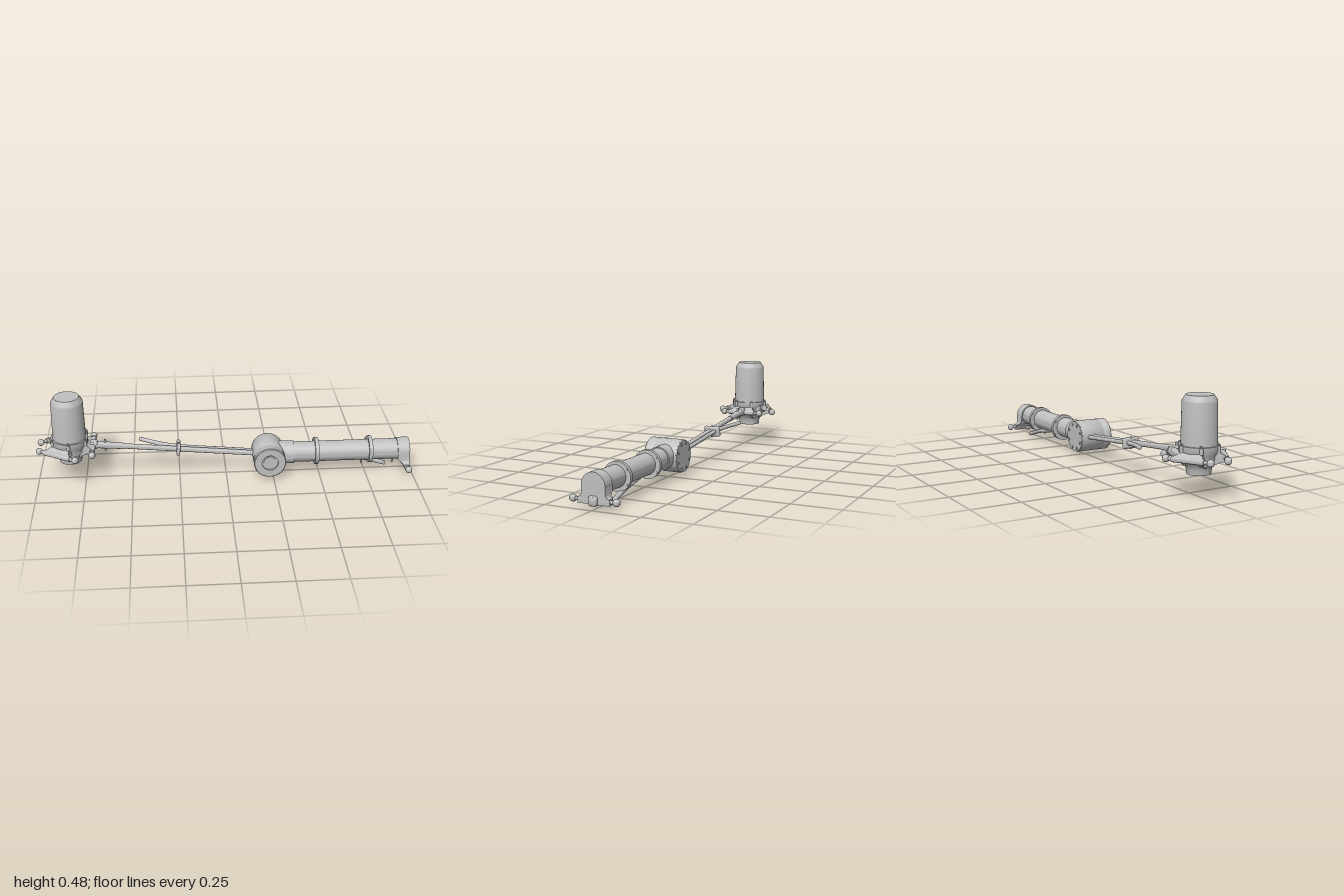
import * as THREE from 'three';
import { toCreasedNormals } from 'three/addons/utils/BufferGeometryUtils.js';
import { RoundedBoxGeometry } from 'three/addons/geometries/RoundedBoxGeometry.js';

const grey = new THREE.MeshStandardMaterial({ color: 0xc0c0c0 });
grey.name = 'paintedMetalGrey';
const V = (x, y, z) => new THREE.Vector3(x, y, z);

function add(parent, name, geo, pos) {
  const m = new THREE.Mesh(toCreasedNormals(geo, 0.6), grey);
  m.name = name;
  if (pos) m.position.copy(pos);
  parent.add(m);
  return m;
}
// Cylinder between two points, r1 at a and r2 at b
function rod(parent, name, a, b, r1, r2 = r1, sides = 24) {
  const d = b.clone().sub(a);
  const m = add(parent, name, new THREE.CylinderGeometry(r2, r1, d.length(), sides), a.clone().lerp(b, 0.5));
  m.quaternion.setFromUnitVectors(V(0, 1, 0), d.normalize());
  return m;
}
const lathe = pts => new THREE.LatheGeometry(pts.map(p => new THREE.Vector2(p[0], p[1])), 48);
const tube = (pts, r) => new THREE.TubeGeometry(new THREE.CatmullRomCurve3(pts), 40, r, 14);

// Cross bar along z with a stem and ball at each end
function ballBar(parent, centre, half) {
  const g = new THREE.Group();
  g.name = 'ballBar';
  g.position.copy(centre);
  parent.add(g);
  rod(g, 'bar', V(0, 0, -0.08), V(0, 0, 0.08), 0.014);
  for (const s of [-1, 1]) {
    rod(g, 'ballStem', V(0, 0, s * 0.078), V(0, 0, s * half), 0.009);
    add(g, 'ball', new THREE.SphereGeometry(0.018, 24, 16), V(0, 0, s * half));
  }
}

// Flared web reaching from the hub out to a ball bar
function webGeometry() {
  const geo = new THREE.BoxGeometry(1, 1, 1, 10, 4, 6);
  const p = geo.attributes.position;
  for (let i = 0; i < p.count; i++) {
    const u = p.getX(i) + 0.5;
    const half = 0.062 - 0.05 * u * (1 - u) + 0.018 * u * u;
    const thick = 0.074 * (1 - u) ** 1.3 + 0.024;
    p.setXYZ(i, 0.05 + 0.072 * u, 0.2 - 0.007 * u + p.getY(i) * thick, p.getZ(i) * 2 * half);
  }
  geo.computeVertexNormals();
  return geo;
}

function buildHead() {
  const head = new THREE.Group();
  head.name = 'head';
  head.position.x = -0.825;
  add(head, 'dome', lathe([[0.087, 0.246], [0.086, 0.3], [0.083, 0.45], [0.082, 0.456], [0.065, 0.481], [0, 0.481]]));
  add(head, 'hub', lathe([[0, 0.145], [0.044, 0.145], [0.044, 0.111], [0.058, 0.111], [0.06, 0.135],
    [0.068, 0.155], [0.084, 0.174], [0.087, 0.205], [0.097, 0.22], [0.097, 0.249], [0.085, 0.249]]));
  // Three arms, each with a web and a ball bar
  for (let i = 0; i < 3; i++) {
    const arm = new THREE.Group();
    arm.name = 'headArm';
    arm.rotation.y = i * Math.PI * 2 / 3;
    add(arm, 'armWeb', webGeometry());
    ballBar(arm, V(0.12, 0.193, 0), 0.111);
    head.add(arm);
  }
  // Flange ears and bolts
  for (let i = 0; i < 6; i++) {
    const a = (i + 0.5) * Math.PI / 3, x = Math.cos(a) * 0.098, z = Math.sin(a) * 0.098;
    rod(head, 'flangeEar', V(x, 0.218, z), V(x, 0.249, z), 0.009);
    rod(head, 'flangeBolt', V(x, 0.248, z), V(x, 0.257, z), 0.006, 0.006, 6);
  }
  // Angled side port
  rod(head, 'port', V(0.035, 0.192, -0.06), V(0.066, 0.218, -0.114), 0.022);
  rod(head, 'portCap', V(0.06, 0.213, -0.104), V(0.072, 0.223, -0.125), 0.018);
  return head;
}

function buildLink() {
  const link = new THREE.Group();
  link.name = 'link';
  const at = x => V(x, 0.198 - (x + 0.7) * 0.098, 0);
  rod(link, 'linkRod', at(-0.56), at(0.17), 0.014);
  rod(link, 'linkSleeve', at(-0.72), at(-0.53), 0.02, 0.016);
  rod(link, 'linkPin', at(-0.64).add(V(0, -0.033, 0)), at(-0.64).add(V(0, 0.033, 0)), 0.006);
  add(link, 'linkYoke', new RoundedBoxGeometry(0.04, 0.045, 0.04, 3, 0.01), at(-0.7));
  // Thin line beside the rod, bending away at its free end
  const side = (x, z) => at(x).setZ(z);
  add(link, 'sideLine', tube([side(0.17, -0.028), side(-0.05, -0.028), side(-0.25, -0.03), side(-0.35, -0.048), side(-0.455, -0.088)], 0.011));
  add(link, 'sideLineTip', new THREE.SphereGeometry(0.011, 14, 10), side(-0.455, -0.088));
  // Clamp holding rod and line together
  const c = at(-0.255);
  const clamp = add(link, 'clampPlate', new RoundedBoxGeometry(0.02, 0.056, 0.092, 4, 0.009), c.clone().setZ(-0.015));
  clamp.rotation.z = -0.1;
  rod(link, 'clampBolt', V(c.x, c.y - 0.032, -0.012), V(c.x, c.y + 0.032, -0.012), 0.006);
  return link;
}

function buildDrum() {
  const drum = new THREE.Group();
  drum.name = 'drum';
  drum.position.set(0.226, 0.11, 0);
  // Turned about z, with a shallow recess in the front face
  const shell = add(drum, 'drumShell', lathe([[0, -0.07], [0.083, -0.07], [0.085, -0.066], [0.085, 0.06], [0.083, 0.063],
    [0.083, 0.067], [0.085, 0.07], [0.085, 0.106], [0.081, 0.11], [0.043, 0.11], [0.043, 0.1], [0.034, 0.1], [0.034, 0.104], [0, 0.104]]));
  shell.rotation.x = Math.PI / 2;
  rod(drum, 'backCover', V(0, 0, -0.075), V(0, 0, -0.068), 0.082, 0.082, 48);
  for (let i = 0; i < 8; i++) {
    const a = (i + 0.5) * Math.PI / 4, x = Math.cos(a) * 0.067, y = Math.sin(a) * 0.067;
    rod(drum, 'coverBolt', V(x, y, -0.079), V(x, y, -0.073), 0.007, 0.007, 6);
  }
  return drum;
}

function buildBarrel() {
  const barrel = new THREE.Group();
  barrel.name = 'barrel';
  const y = 0.114;
  rod(barrel, 'barrelTube', V(0.25, y, 0), V(0.94, y, 0), 0.055, 0.055, 48);
  rod(barrel, 'barrelCollar', V(0.24, y, 0), V(0.362, y, 0), 0.061, 0.061, 48);
  // Band clamps, set slightly to the back, each with two bolts
  for (const x of [0.485, 0.775]) {
    rod(barrel, 'band', V(x - 0.01, y - 0.001, -0.007), V(x + 0.01, y - 0.001, -0.007), 0.0725, 0.0725, 48);
    for (const s of [-1, 1]) {
      rod(barrel, 'bandBolt', V(x - 0.014, y + s * 0.035, -0.06), V(x + 0.014, y + s * 0.035, -0.06), 0.005, 0.005, 6);
    }
  }
  // Cable leaving the underside of the barrel
  add(barrel, 'cable', tube([V(0.6, 0.074, -0.024), V(0.69, 0.06, -0.026), V(0.77, 0.042, -0.027), V(0.865, 0.013, -0.027)], 0.011));
  rod(barrel, 'cableTip', V(0.862, 0.0145, -0.027), V(0.872, 0.0113, -0.027), 0.011);
  for (const x of [0.735, 0.905]) rod(barrel, 'bottomPin', V(x, 0.032, 0), V(x, 0.065, 0), 0.005);
  return barrel;
}

function buildEndCap() {
  const cap = new THREE.Group();
  cap.name = 'endCap';
  // Arched plate flaring into a foot
  const s = new THREE.Shape();
  s.moveTo(-0.083, 0.026);
  s.lineTo(0.083, 0.026);
  s.lineTo(0.083, 0.055);
  s.quadraticCurveTo(0.063, 0.058, 0.063, 0.08);
  s.lineTo(0.063, 0.113);
  s.absarc(0, 0.113, 0.062, 0, Math.PI, false);
  s.lineTo(-0.063, 0.08);
  s.quadraticCurveTo(-0.063, 0.058, -0.083, 0.055);
  s.closePath();
  const geo = new THREE.ExtrudeGeometry(s, { depth: 0.065, bevelEnabled: false, curveSegments: 20 });
  // Sweep the inner face outward towards the foot
  const p = geo.attributes.position;
  for (let i = 0; i < p.count; i++) {
    if (p.getZ(i) < 0.01 && p.getY(i) < 0.08) p.setZ(i, Math.min(0.04, (0.08 - p.getY(i)) * 1.3));
  }
  geo.computeVertexNormals();
  geo.rotateY(Math.PI / 2);
  add(cap, 'archPlate', geo, V(0.92, 0, 0));
  ballBar(cap, V(0.972, 0.043, 0), 0.113);
  add(cap, 'barBlock', new RoundedBoxGeometry(0.045, 0.048, 0.045, 4, 0.012), V(0.9775, 0.042, 0));
  return cap;
}

export function createModel() {
  const model = new THREE.Group();
  model.name = 'jointedArm';
  model.add(buildHead(), buildLink(), buildDrum(), buildBarrel(), buildEndCap());
  return model;
}
